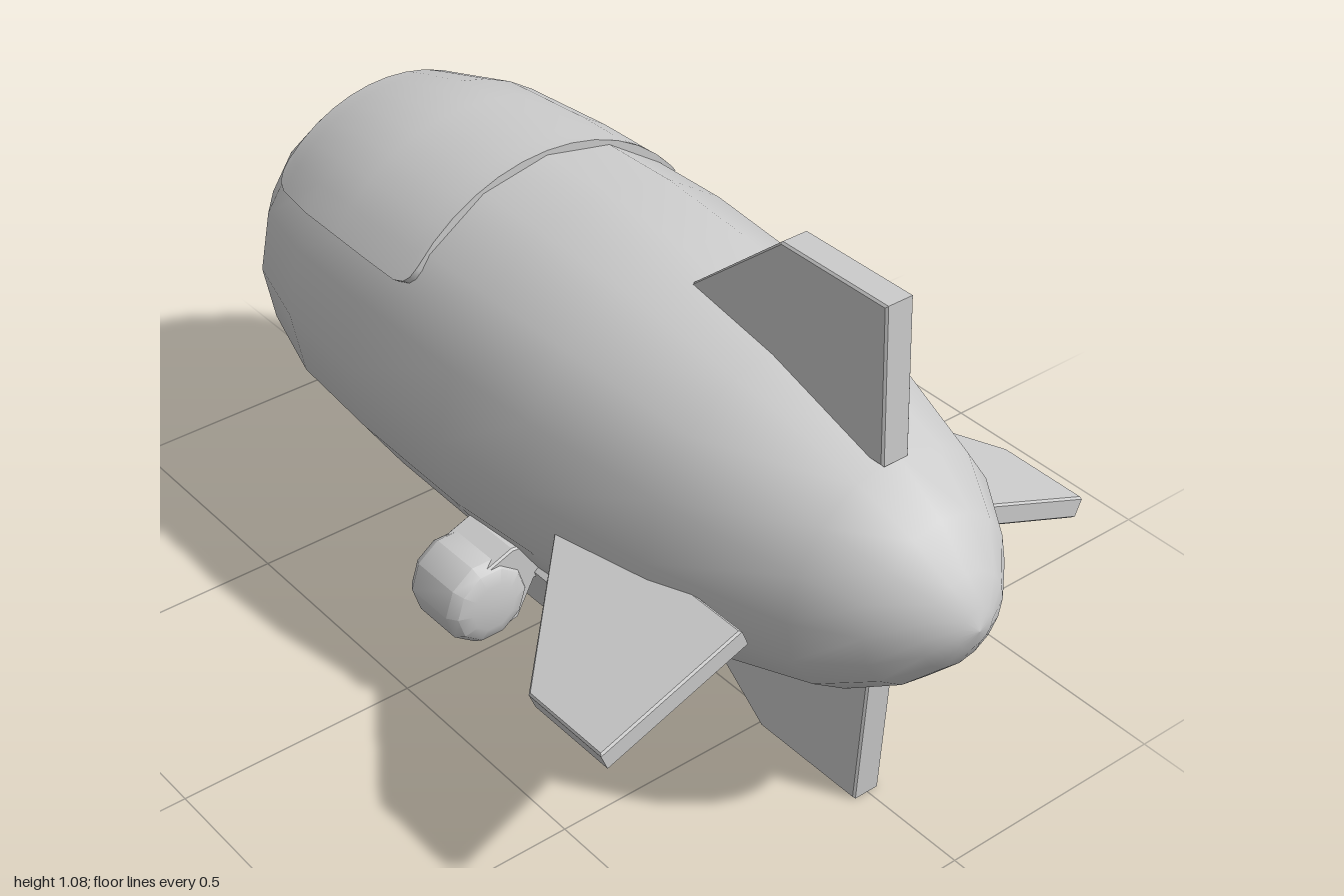
import * as THREE from 'three';
import { toCreasedNormals } from 'three/addons/utils/BufferGeometryUtils.js';

const CY = 0.526, CZ = -0.008; // hull axis
// hull profile: [x, radius]
const PROFILE = [
  [-1, 0], [-0.985, 0.06], [-0.94, 0.14], [-0.86, 0.232], [-0.74, 0.325], [-0.56, 0.375],
  [-0.33, 0.391], [-0.02, 0.396], [0.2, 0.381], [0.5, 0.329], [0.78, 0.243],
  [0.89, 0.17], [0.96, 0.095], [0.99, 0.04], [1, 0],
];

function hullRadius(x) {
  const i = PROFILE.findIndex((p, k) => k > 0 && x <= p[0]);
  const [a, b] = [PROFILE[i - 1], PROFILE[i]];
  return THREE.MathUtils.mapLinear(x, a[0], b[0], a[1], b[1]);
}

// extrude a polygon outline, centred on its thickness
function slab(points, depth, bevel = 0) {
  const shape = new THREE.Shape(points.map(([x, y]) => new THREE.Vector2(x, y)));
  const geo = new THREE.ExtrudeGeometry(shape, {
    depth: depth - 2 * bevel, bevelEnabled: bevel > 0, bevelSize: bevel,
    bevelThickness: bevel, bevelOffset: -bevel, bevelSegments: 1,
  });
  return geo.translate(0, 0, -depth / 2 + bevel);
}

// raised, round-cornered panel that follows the hull, with a rim sunk into it
function panelGeometry() {
  const rows = [[-0.737, 47], [-0.733, 51], [-0.72, 54.5], [-0.69, 56.2], [-0.56, 56.2], [-0.45, 56.2],
    [-0.33, 56.2], [-0.24, 56.2], [-0.215, 55], [-0.203, 53], [-0.198, 50]];
  const cols = 12, pos = [], index = [], w = cols + 3;
  for (let i = -1; i <= rows.length; i++) {
    const [x, half] = rows[THREE.MathUtils.clamp(i, 0, rows.length - 1)];
    for (let j = -1; j <= cols + 1; j++) {
      const rim = i < 0 || i === rows.length || j < 0 || j > cols;
      const t = THREE.MathUtils.clamp(j, 0, cols) / cols;
      const a = THREE.MathUtils.degToRad(half * (2 * t - 1));
      const r = hullRadius(x) + (rim ? -0.03 : 0.01);
      pos.push(x, CY + r * Math.cos(a), CZ + r * Math.sin(a));
    }
  }
  for (let i = 0; i < rows.length + 1; i++) {
    for (let j = 0; j < w - 1; j++) {
      const p = i * w + j;
      index.push(p, p + 1, p + w, p + 1, p + w + 1, p + w);
    }
  }
  const geo = new THREE.BufferGeometry();
  geo.setAttribute('position', new THREE.Float32BufferAttribute(pos, 3));
  geo.setIndex(index);
  return toCreasedNormals(geo, 0.7);
}

export function createModel() {
  const model = new THREE.Group();
  model.name = 'airship';
  const material = new THREE.MeshStandardMaterial({ color: 0xcccccc });
  const add = (name, geo) => {
    const mesh = new THREE.Mesh(geo, material);
    mesh.name = name;
    model.add(mesh);
    return mesh;
  };

  // envelope
  const hull = new THREE.LatheGeometry(PROFILE.map(([x, r]) => new THREE.Vector2(r, x)), 16);
  add('hull', hull.rotateZ(-Math.PI / 2).translate(0, CY, CZ));
  add('topPanel', panelGeometry());

  // tail fins: outline is [x, distance outward from the root]
  const fin = (name, outline, thickness, degrees, y, z) => {
    const mesh = add(name, slab(outline, thickness, 0.004));
    mesh.rotation.x = THREE.MathUtils.degToRad(degrees);
    mesh.position.set(0, y, z);
  };
  const upright = [[0.14, 0], [0.785, 0], [0.77, 0.315], [0.51, 0.315]];
  fin('upperFin', upright, 0.062, 0, 0.765, 0.003);
  fin('lowerFin', upright.map(([x, s]) => [x, s * 0.9]), 0.062, 180, 0.283, 0.003);
  const sideOutline = [[0.215, 0], [0.722, 0], [0.712, 0.325], [0.51, 0.325]];
  for (const side of [1, -1]) {
    fin(side > 0 ? 'frontSideFin' : 'backSideFin', sideOutline, 0.045, side * 112.5, 0.478, side * 0.275);
  }

  // shapes drawn across the hull as [z, y] and extruded along x
  const acrossHull = (name, outline, length, x) => {
    const geo = slab(outline.map(([z, y]) => [-z, y]), length, 0.004);
    add(name, geo.rotateY(Math.PI / 2).translate(x, 0, 0));
  };
  acrossHull('gondola', [[0, 0.063], [0.247, 0.143], [0.28, 0.255], [0.2, 0.32],
    [-0.2, 0.32], [-0.285, 0.235], [-0.247, 0.143]], 0.226, 0.053);
  acrossHull('engineStrut', [[0.42, 0.3], [0.33, 0.334], [0.22, 0.32], [0.22, 0.24],
    [0.28, 0.24], [0.32, 0.165], [0.4, 0.15]], 0.14, 0.055);

  // engine pod with bevelled ends
  const pod = [[0, -0.085], [0.05, -0.085], [0.078, -0.075], [0.092, -0.055],
    [0.092, 0.055], [0.078, 0.075], [0.05, 0.085], [0, 0.085]];
  const podGeo = new THREE.LatheGeometry(pod.map(([r, x]) => new THREE.Vector2(r, x)), 10);
  podGeo.rotateZ(-Math.PI / 2).translate(0.055, 0.232, 0.385);
  add('enginePod', toCreasedNormals(podGeo, 0.7));

  return model;
}
